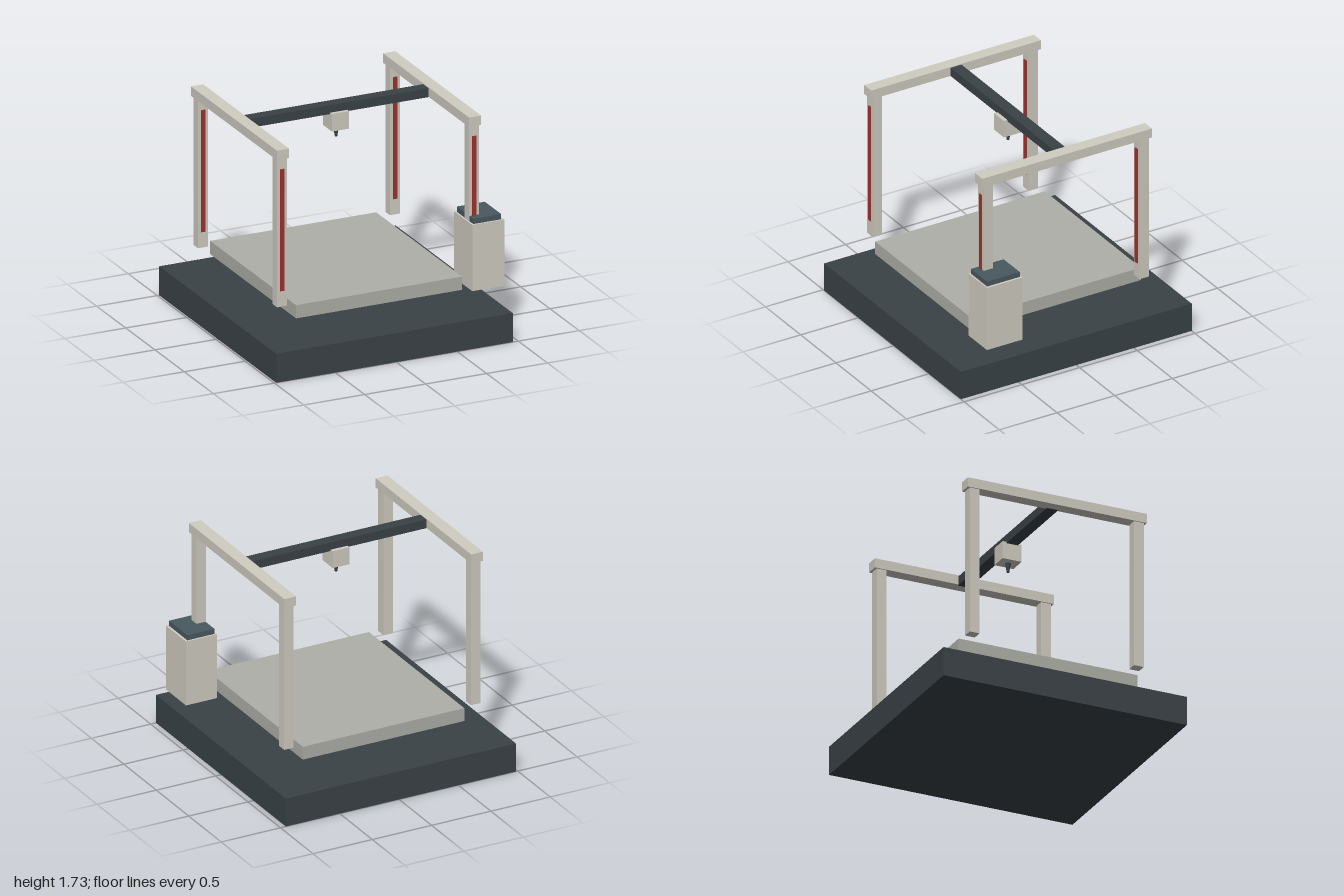
import * as THREE from 'three';

const mat = (color) => new THREE.MeshStandardMaterial({ color, flatShading: true });

export function createModel() {
  const model = new THREE.Group();
  model.name = 'gantryPrinter';

  const frame = mat(0xd0ccc2);
  const bedGrey = mat(0xaeafa8);
  const dark = mat(0x3a4246);
  const red = mat(0xa0322c);
  const glass = mat(0x48585f);

  // Box given by its [min, max] extent on each axis
  const block = (name, material, [x0, x1], [y0, y1], [z0, z1], parent = model) => {
    const mesh = new THREE.Mesh(new THREE.BoxGeometry(x1 - x0, y1 - y0, z1 - z0), material);
    mesh.position.set((x0 + x1) / 2, (y0 + y1) / 2, (z0 + z1) / 2);
    mesh.name = name;
    parent.add(mesh);
    return mesh;
  };
  const around = (c, half) => [c - half, c + half];

  // Base slab and the bed floating above it
  block('base', dark, [-0.985, 0.955], [0, 0.23], [-1, 1]);
  block('bed', bedGrey, [-0.695, 0.667], [0.37, 0.475], [-0.735, 0.735]);

  // Side frames: two posts with light strips on their front faces, and a top rail
  for (const [side, x] of [['right', -0.802], ['left', 0.773]]) {
    const sideFrame = new THREE.Group();
    sideFrame.name = side + 'Frame';
    model.add(sideFrame);
    block(side + 'Rail', frame, around(x, 0.05), [1.65, 1.725], around(0, 0.735), sideFrame);
    for (const [end, z] of [['Front', 0.675], ['Back', -0.675]]) {
      block(side + end + 'Post', frame, around(x, 0.04), [0.475, 1.65], around(z, 0.04), sideFrame);
      block(side + end + 'Strip', red, around(x, 0.017), [0.6, 1.565], [z + 0.035, z + 0.048], sideFrame);
    }
  }

  // Crossbeam between the rails
  block('crossbeam', dark, [-0.77, 0.74], [1.649, 1.719], around(0, 0.047));

  // Print head and tapered nozzle
  const head = new THREE.Group();
  head.name = 'printHead';
  model.add(head);
  block('headBody', frame, around(-0.015, 0.07), [1.521, 1.66], around(0, 0.078), head);
  const nozzle = new THREE.Mesh(new THREE.CylinderGeometry(0.022, 0.009, 0.075, 12), dark);
  nozzle.name = 'nozzle';
  nozzle.position.set(-0.015, 1.485, 0);
  head.add(nozzle);

  // Control box with a screen on top
  block('controlBox', frame, [0.722, 0.985], [0.37, 0.895], [0.483, 0.793]);
  block('controlScreen', glass, [0.737, 0.966], [0.89, 0.936], [0.497, 0.78]);

  return model;
}
